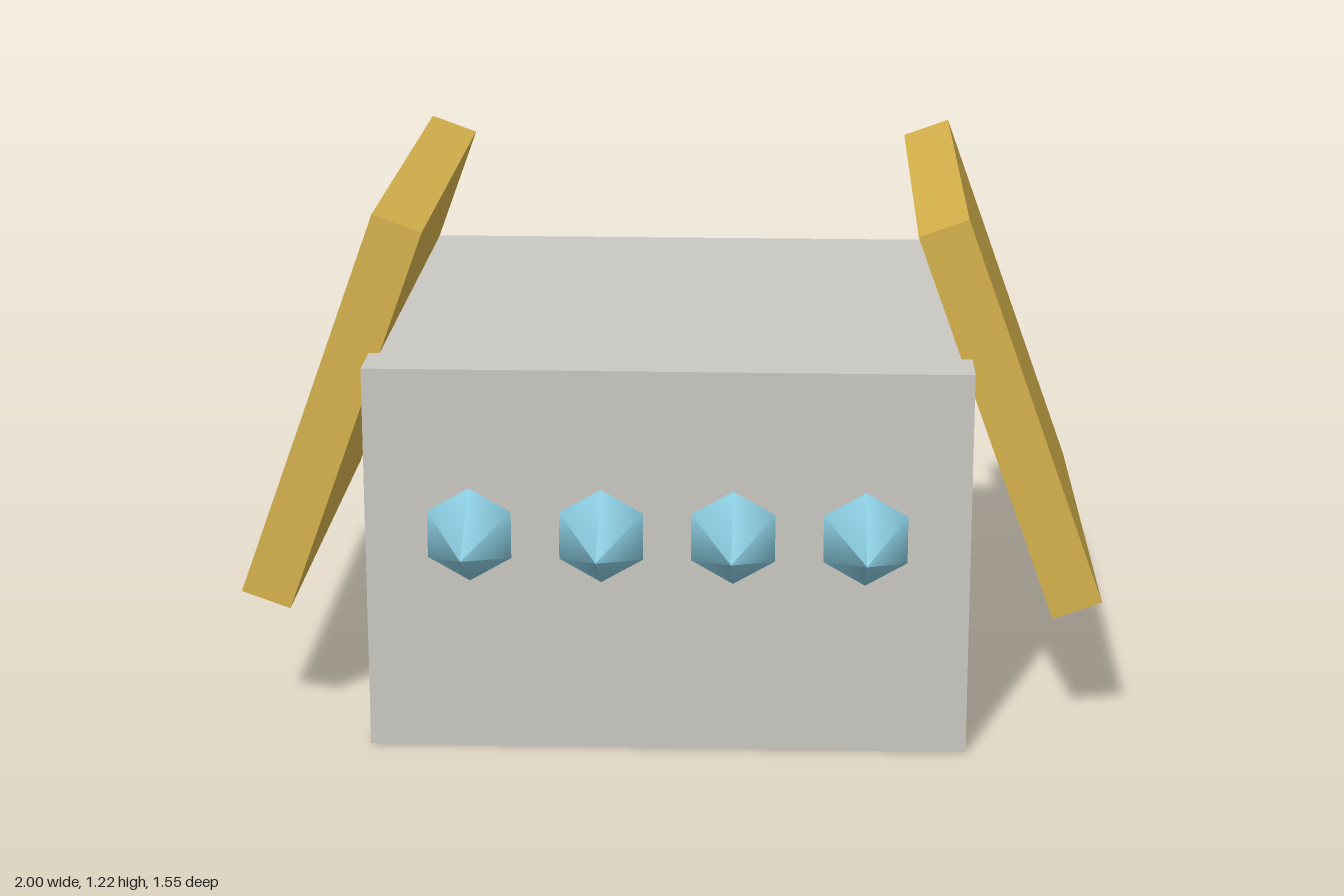
import * as THREE from 'three';

const flat = (name, color) => {
  const m = new THREE.MeshStandardMaterial({ color });
  m.name = name;
  return m;
};

export function createModel() {
  const group = new THREE.Group();
  const grey = flat('paleGrey', 0xcac8c2);
  const gold = flat('gold', 0xd6b24c);
  const blue = flat('skyBlue', 0x87c8dc);

  const add = (name, geometry, material, x, y, z) => {
    const mesh = new THREE.Mesh(geometry, material);
    mesh.name = name;
    mesh.position.set(x, y, z);
    group.add(mesh);
    return mesh;
  };

  // Main block
  add('body', new THREE.BoxGeometry(1.375, 0.9, 1.35), grey, 0, 0.45, -0.1);

  // Slanted side panels, leaning inward at the top
  const panel = new THREE.BoxGeometry(0.12, 0.96, 1.2);
  for (const side of [1, -1]) {
    const mesh = add(side > 0 ? 'leftPanel' : 'rightPanel', panel, gold, side * 0.78, 0.752, -0.16);
    mesh.rotation.z = side * THREE.MathUtils.degToRad(20);
  }

  // Row of six-sided spikes on the front face
  const spike = new THREE.ConeGeometry(0.11, 0.195, 6).rotateX(Math.PI / 2);
  [-0.45, -0.15, 0.15, 0.45].forEach((x, i) => add(`spike${i + 1}`, spike, blue, x, 0.512, 0.6725));

  return group;
}
